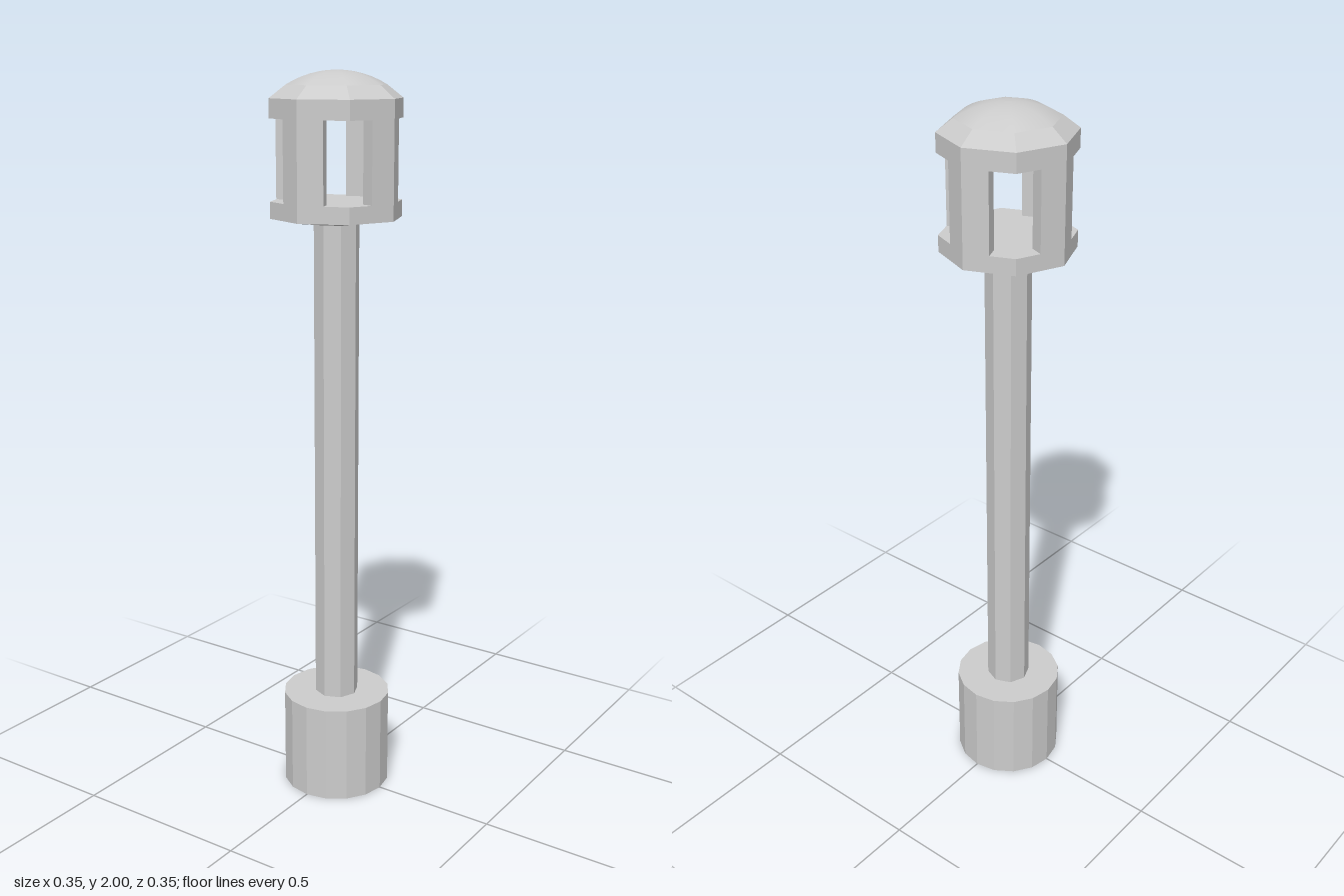
import * as THREE from 'three';

const flat = new THREE.MeshStandardMaterial({ color: 0xcccccc, flatShading: true });
const smooth = new THREE.MeshStandardMaterial({ color: 0xcccccc });

export function createModel() {
  const model = new THREE.Group();
  model.name = 'lanternStaff';

  const add = (name, geometry, material = flat) => {
    const mesh = new THREE.Mesh(geometry, material);
    mesh.name = name;
    model.add(mesh);
    return mesh;
  };

  // Faceted drum standing between two heights, with a corner on each axis
  const drum = (name, y0, y1, rBottom, rTop, sides = 8) => {
    const mesh = add(name, new THREE.CylinderGeometry(rTop, rBottom, y1 - y0, sides));
    mesh.position.y = (y0 + y1) / 2;
  };

  const outer = 0.176, inner = 0.133;
  const sill = 1.67, lintel = 1.88, eaves = 1.93, domeBase = 1.963;

  drum('base', 0, 0.273, 0.151, 0.151, 16);
  drum('pole', 0.273, 1.612, 0.061, 0.061);

  // Lantern floor and ceiling
  drum('lanternUnderside', 1.611, 1.626, 0.061, outer);
  drum('lanternFloor', 1.626, sill, outer, outer);
  drum('lanternCeiling', lintel, eaves, outer, outer);
  drum('roofRim', eaves, domeBase, outer, inner);

  // Four corner posts, each reaching to the middle of the two faces it joins;
  // the windows between them wrap the diagonal corners
  const mid = (r, side) => new THREE.Vector2(
    r * (1 + Math.SQRT1_2) / 2, side * r * Math.SQRT1_2 / 2);
  const section = new THREE.Shape([
    new THREE.Vector2(outer, 0), mid(outer, 1), mid(inner, 1),
    new THREE.Vector2(inner, 0), mid(inner, -1), mid(outer, -1),
  ]);
  const postGeometry = new THREE.ExtrudeGeometry(section, { depth: lintel - sill, bevelEnabled: false });
  postGeometry.rotateX(-Math.PI / 2);
  for (let i = 0; i < 4; i++) {
    const post = add('lanternPost', postGeometry);
    post.position.y = sill;
    post.rotation.y = i * Math.PI / 2;
  }

  // Shallow smooth dome: a spherical cap on the eight-sided rim
  const rise = 2 - domeBase;
  const radius = (inner * inner + rise * rise) / (2 * rise);
  const span = Math.asin(inner / radius);
  const profile = [];
  for (let i = 0; i <= 6; i++) {
    const a = span * (1 - i / 6);
    profile.push(new THREE.Vector2(radius * Math.sin(a), 2 - radius + radius * Math.cos(a)));
  }
  add('dome', new THREE.LatheGeometry(profile, 8), smooth);

  return model;
}
